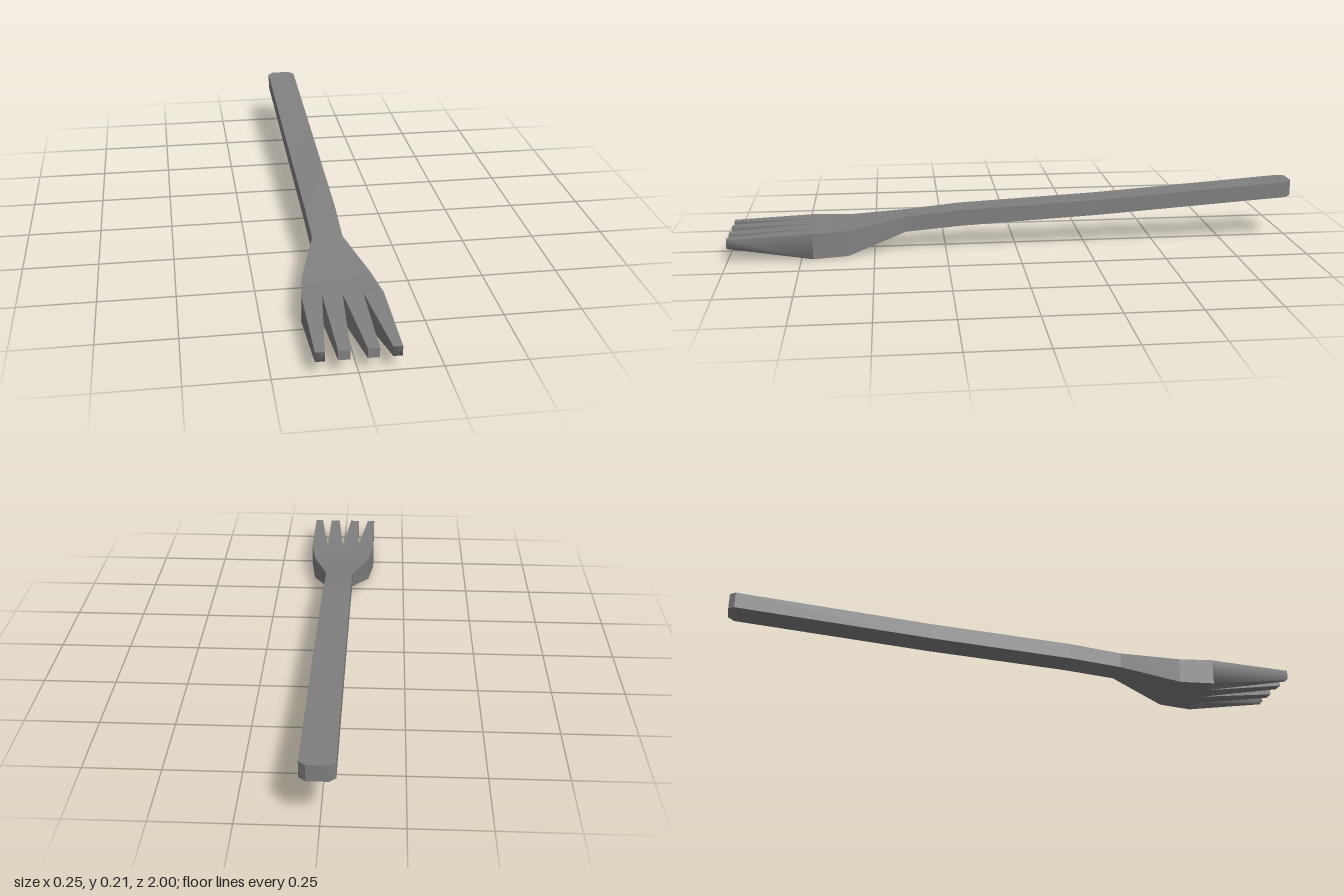
import * as THREE from 'three';

// Loft rectangular sections [z, left x, right x, bottom y, top y], ordered back to front.
// Tops and bottoms are smooth along the length; soft also rounds the shading of sides, bottom and tip.
function loft(sections, soft) {
  const positions = [], index = [], shared = new Map();
  const vertex = (smoothing, section, corner) => {
    const key = `${smoothing}/${section}/${corner}`;
    if (!shared.has(key)) {
      const [z, x0, x1, y0, y1] = sections[section];
      shared.set(key, positions.length / 3);
      positions.push(corner === 0 || corner === 3 ? x0 : x1, corner < 2 ? y0 : y1, z);
    }
    return shared.get(key);
  };
  const quad = (smoothing, corners) => {
    const [a, b, c, d] = corners.map(([section, corner]) => vertex(smoothing, section, corner));
    index.push(a, b, c, a, c, d);
  };
  const last = sections.length - 1;
  for (let i = 0; i < last; i++) {
    const smoothing = soft
      ? ['soft', 'soft', 'top', 'soft']
      : ['bottom', `right${i}`, 'top', `left${i}`];
    for (let j = 0; j < 4; j++) {
      const k = (j + 1) % 4;
      quad(smoothing[j], [[i, j], [i, k], [i + 1, k], [i + 1, j]]);
    }
  }
  quad('back', [[0, 3], [0, 2], [0, 1], [0, 0]]);
  quad(soft ? 'soft' : 'front', [[last, 0], [last, 1], [last, 2], [last, 3]]);
  const geometry = new THREE.BufferGeometry();
  geometry.setAttribute('position', new THREE.Float32BufferAttribute(positions, 3));
  geometry.setIndex(index);
  geometry.computeVertexNormals();
  return geometry;
}

export function createModel() {
  const group = new THREE.Group();
  const material = new THREE.MeshStandardMaterial({ color: 0x808080 });
  const add = (name, sections, soft = false) => {
    const mesh = new THREE.Mesh(loft(sections, soft), material);
    mesh.name = name;
    group.add(mesh);
  };

  // Long handle with clipped back corners, flaring into the head
  add('handleAndHead', [
    [-1, -0.028, 0.04, 0.158, 0.214],
    [-0.98, -0.047, 0.061, 0.156, 0.212],
    [-0.3, -0.047, 0.06, 0.11, 0.165],
    [0.2, -0.048, 0.056, 0.083, 0.14],
    [0.39, -0.049, 0.052, 0.066, 0.121],
    [0.59, -0.109, 0.109, 0.002, 0.091],
    [0.71, -0.127, 0.125, 0, 0.091],
  ]);

  // Four tapering tines, the outer pair softly shaded
  for (const [side, label] of [[1, 'left'], [-1, 'right']]) {
    const tine = (name, inner, outer, tipInner, tipOuter, soft) => {
      const span = (a, b) => side > 0 ? [a, b] : [-b, -a];
      add(label + name, [
        [0.71, ...span(inner, outer), 0, 0.091],
        [1, ...span(tipInner, tipOuter), 0.047, 0.078],
      ], soft);
    };
    tine('InnerTine', 0, 0.063, 0.025, 0.06, false);
    tine('OuterTine', 0.063, 0.126, 0.098, 0.126, true);
  }
  return group;
}
